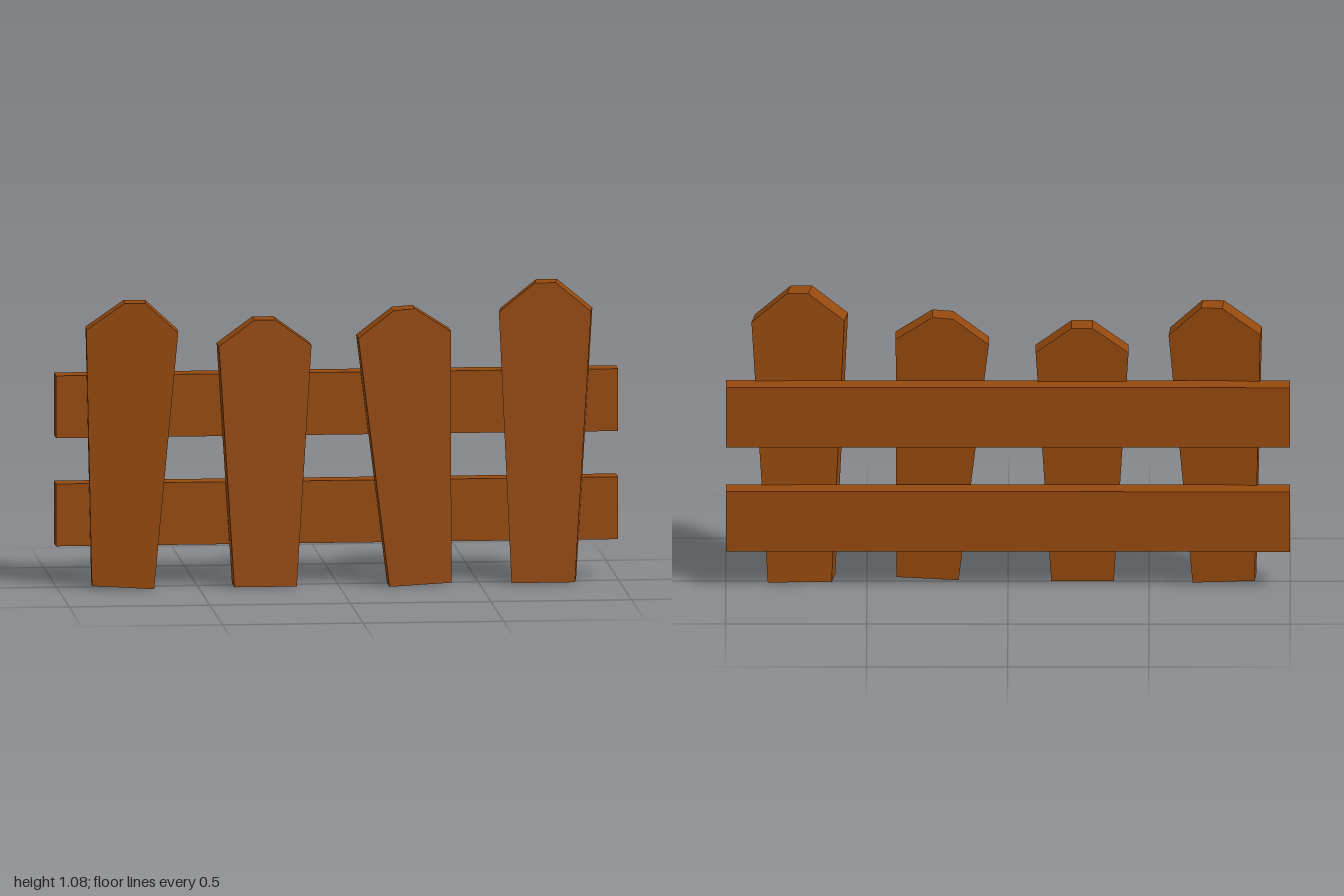
import * as THREE from 'three';

// Tapered picket with a clipped point; open underneath.
// outline: bottom left, bottom right, right shoulder, peak right, peak left, left shoulder
// z: front depth at the middle of the base, turn: dz per x, lean: dz per y, skew: x shift of the back
function picketGeometry({ outline, z, turn, lean, skew }) {
  const thickness = 0.095;
  const midX = (outline[0][0] + outline[1][0]) / 2;
  const front = outline.map(([x, y]) =>
    new THREE.Vector3(x, y, z + turn * (x - midX) + lean * y));
  const back = front.map((p) => new THREE.Vector3(p.x + skew, p.y, p.z - thickness));
  const points = [];
  const tri = (...corners) => points.push(...corners);
  const n = front.length;
  for (let i = 1; i < n - 1; i++) {
    tri(front[0], front[i], front[i + 1]);
    tri(back[0], back[i + 1], back[i]);
  }
  // edges, leaving out the base
  for (let i = 1; i < n; i++) {
    const j = (i + 1) % n;
    tri(front[i], back[i], back[j]);
    tri(front[i], back[j], front[j]);
  }
  const geometry = new THREE.BufferGeometry().setFromPoints(points);
  geometry.computeVertexNormals();
  return geometry;
}

const pickets = [
  {
    outline: [[-0.88, 0.015], [-0.66, 0.003], [-0.575, 0.92], [-0.69, 1.025], [-0.765, 1.025], [-0.9, 0.93]],
    z: 0.072, turn: 0.075, lean: 0, skew: 0.006,
  },
  {
    outline: [[-0.375, 0.007], [-0.153, 0.007], [-0.098, 0.865], [-0.225, 0.957], [-0.3, 0.957], [-0.427, 0.865]],
    z: 0.087, turn: 0, lean: -0.036, skew: 0,
  },
  {
    outline: [[0.175, 0.004], [0.395, 0.016], [0.398, 0.91], [0.268, 0.993], [0.195, 0.987], [0.068, 0.89]],
    z: 0.104, turn: 0, lean: -0.039, skew: 0,
  },
  {
    outline: [[0.612, 0.007], [0.838, 0.007], [0.896, 0.975], [0.77, 1.08], [0.695, 1.08], [0.567, 0.978]],
    z: 0.07, turn: -0.025, lean: 0, skew: 0.013,
  },
];

export function createModel() {
  const group = new THREE.Group();
  group.name = 'picketFence';

  const wood = new THREE.MeshStandardMaterial({ color: 0x964a0e, side: THREE.DoubleSide });
  wood.name = 'brown wood';

  // Upright pickets
  pickets.forEach((spec, i) => {
    const picket = new THREE.Mesh(picketGeometry(spec), wood);
    picket.name = `picket${i + 1}`;
    group.add(picket);
  });

  // Horizontal rails behind the pickets
  for (const [name, y] of [['lowerRail', 0.258], ['upperRail', 0.645]]) {
    const rail = new THREE.Mesh(new THREE.BoxGeometry(2, 0.223, 0.085), wood);
    rail.name = name;
    rail.position.set(0, y, -0.063);
    group.add(rail);
  }

  return group;
}
